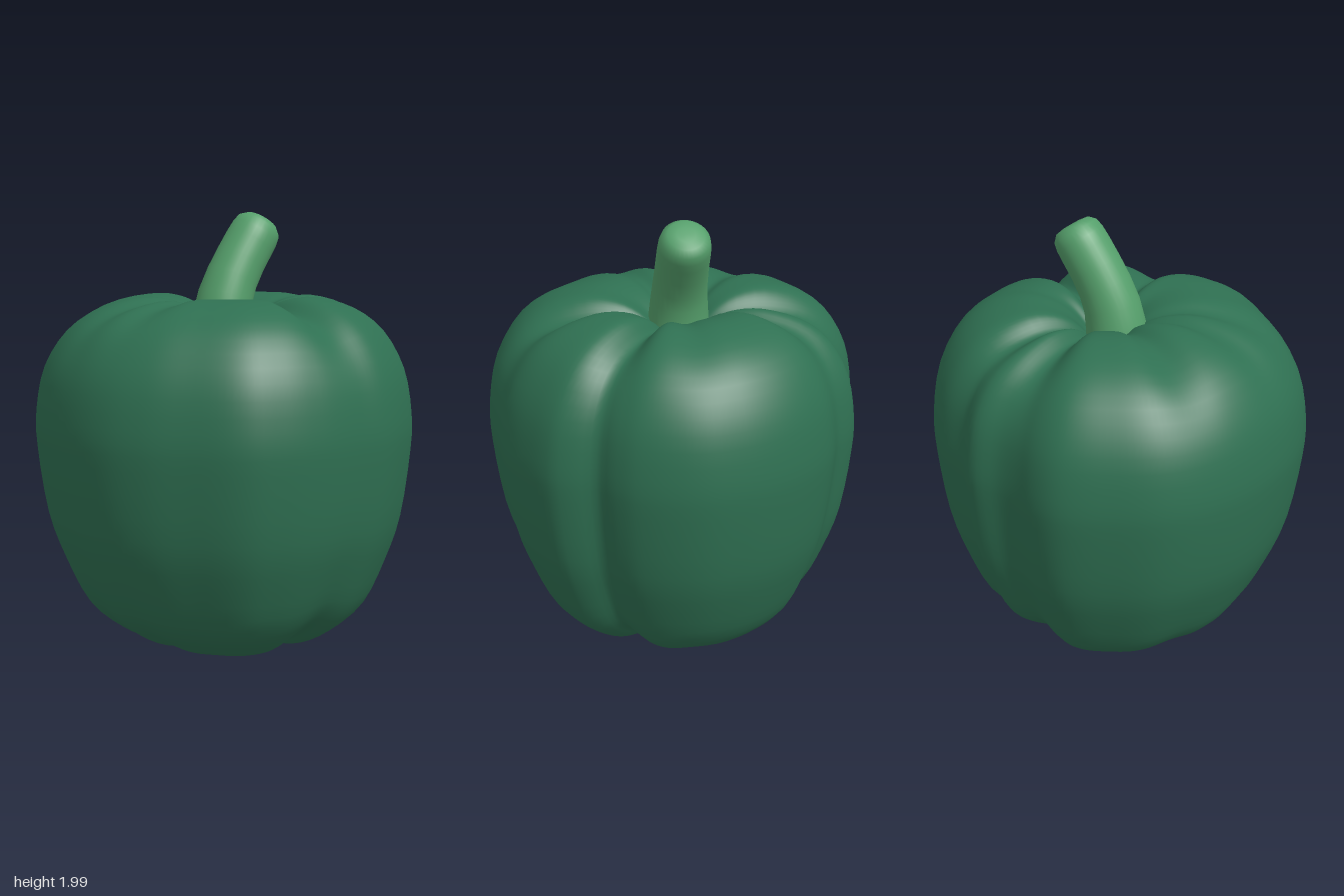
import * as THREE from 'three';
import { mergeVertices } from 'three/addons/utils/BufferGeometryUtils.js';

const V2 = (x, y) => new THREE.Vector2(x, y);
const rad = THREE.MathUtils.degToRad;

// Outer radius of the fruit by angle in degrees (0 = +x, 90 = +z)
const outline = [
  [0, 0.86], [10, 0.853], [21, 0.835], [28, 0.805], [34, 0.775], [40, 0.82], [46, 0.856], [57, 0.856],
  [69, 0.854], [80, 0.836], [97, 0.86], [108, 0.88], [118, 0.893], [134, 0.866], [147, 0.874],
  [159, 0.88], [180, 0.865], [193, 0.863], [209, 0.873], [228, 0.892], [243, 0.877], [257, 0.878],
  [264, 0.852], [273, 0.795], [281, 0.78], [290, 0.815], [295, 0.80], [301, 0.772], [313, 0.807],
  [322, 0.82], [336, 0.835], [350, 0.85],
];

// Grooves between the lobes: angle, depth, angular width
const grooves = [
  [32, 0.08, 9], [84, 0.075, 10], [160, 0.03, 9], [181, 0.03, 8],
  [217, 0.04, 10], [274, 0.09, 11], [298, 0.07, 9], [0, 0.015, 10],
];

// Vertical profile: fraction of the outer radius, height
const profile = [
  [0, 0.14], [0.08, 0.085], [0.18, 0.03], [0.31, 0.008], [0.46, 0.03], [0.61, 0.1], [0.76, 0.22],
  [0.87, 0.42], [0.95, 0.63], [0.998, 0.93], [1, 1.1], [0.955, 1.3], [0.84, 1.47], [0.68, 1.57],
  [0.48, 1.615], [0.32, 1.6], [0.2, 1.55], [0.1, 1.47], [0, 1.42],
];

// Smooth lookup in the closed outline
function radiusAt(deg) {
  const n = outline.length;
  let i = n - 1;
  while (outline[i][0] > deg) i--;
  const start = outline[i][0];
  const end = i + 1 < n ? outline[i + 1][0] : 360;
  const [p0, p1, p2, p3] = [-1, 0, 1, 2].map((k) => outline[(i + k + n) % n][1]);
  const t = (deg - start) / (end - start);
  return p1 + 0.5 * t * (p2 - p0 + t * (2 * p0 - 5 * p1 + 4 * p2 - p3 + t * (3 * (p1 - p2) + p3 - p0)));
}

function grooveAt(deg) {
  return grooves.reduce((sum, [angle, depth, width]) => {
    const d = Math.abs(((deg - angle + 540) % 360) - 180) / width;
    return sum + depth * Math.exp(-d * d);
  }, 0);
}

// Lobed body swept around the axis, grooves pressed into top and underside
function bodyGeometry() {
  const cols = 180, rows = 54;
  const curve = new THREE.SplineCurve(profile.map(([r, y]) => V2(r, y)));
  const pos = [], index = [];
  for (let j = 0; j <= rows; j++) {
    const p = curve.getPoint(j / rows);
    const f = Math.max(p.x, 0);
    const press = Math.sin(Math.PI * Math.min(f, 1)) * (p.y > 0.8 ? -1 : 0.7);
    for (let i = 0; i < cols; i++) {
      const deg = (i / cols) * 360;
      const r = f * radiusAt(deg);
      pos.push(
        r * Math.cos(rad(deg)) + 0.04 * (1 - f),
        p.y + press * grooveAt(deg),
        r * Math.sin(rad(deg)),
      );
      if (j < rows) {
        const a = j * cols + i, b = j * cols + ((i + 1) % cols);
        index.push(a, a + cols, b, b, a + cols, b + cols);
      }
    }
  }
  const geo = new THREE.BufferGeometry();
  geo.setAttribute('position', new THREE.Float32BufferAttribute(pos, 3));
  geo.setIndex(index);
  const merged = mergeVertices(geo, 1e-5);
  merged.computeVertexNormals();
  return merged;
}

// Round stalk with a softened end, bent along a curve
function stemGeometry() {
  const path = new THREE.SplineCurve([V2(-0.03, 1.4), V2(0, 1.6), V2(0.075, 1.76), V2(0.205, 1.955)]);
  const section = [
    [0.145, 0], [0.135, 0.2], [0.127, 0.35], [0.121, 0.5], [0.118, 0.65], [0.117, 0.8], [0.115, 0.88],
    [0.107, 0.945], [0.08, 0.99], [0.04, 1], [0, 1],
  ].map(([r, s]) => V2(r, s));
  let geo = new THREE.LatheGeometry(section, 32);
  const p = geo.attributes.position;
  for (let i = 0; i < p.count; i++) {
    const s = p.getY(i), x = p.getX(i);
    const c = path.getPointAt(s), t = path.getTangentAt(s);
    p.setXYZ(i, c.x + x * t.y, c.y - x * t.x, p.getZ(i) - 0.01);
  }
  geo.deleteAttribute('uv');
  geo.deleteAttribute('normal');
  geo = mergeVertices(geo, 1e-5);
  geo.computeVertexNormals();
  return geo;
}

export function createModel() {
  const skin = new THREE.MeshStandardMaterial({ color: 0x2f7052 });
  skin.name = 'dark green skin';
  const stalk = new THREE.MeshStandardMaterial({ color: 0x559f6b });
  stalk.name = 'light green stalk';

  const group = new THREE.Group();
  group.name = 'bellPepper';
  const body = new THREE.Mesh(bodyGeometry(), skin);
  body.name = 'body';
  const stem = new THREE.Mesh(stemGeometry(), stalk);
  stem.name = 'stem';
  group.add(body, stem);
  return group;
}
